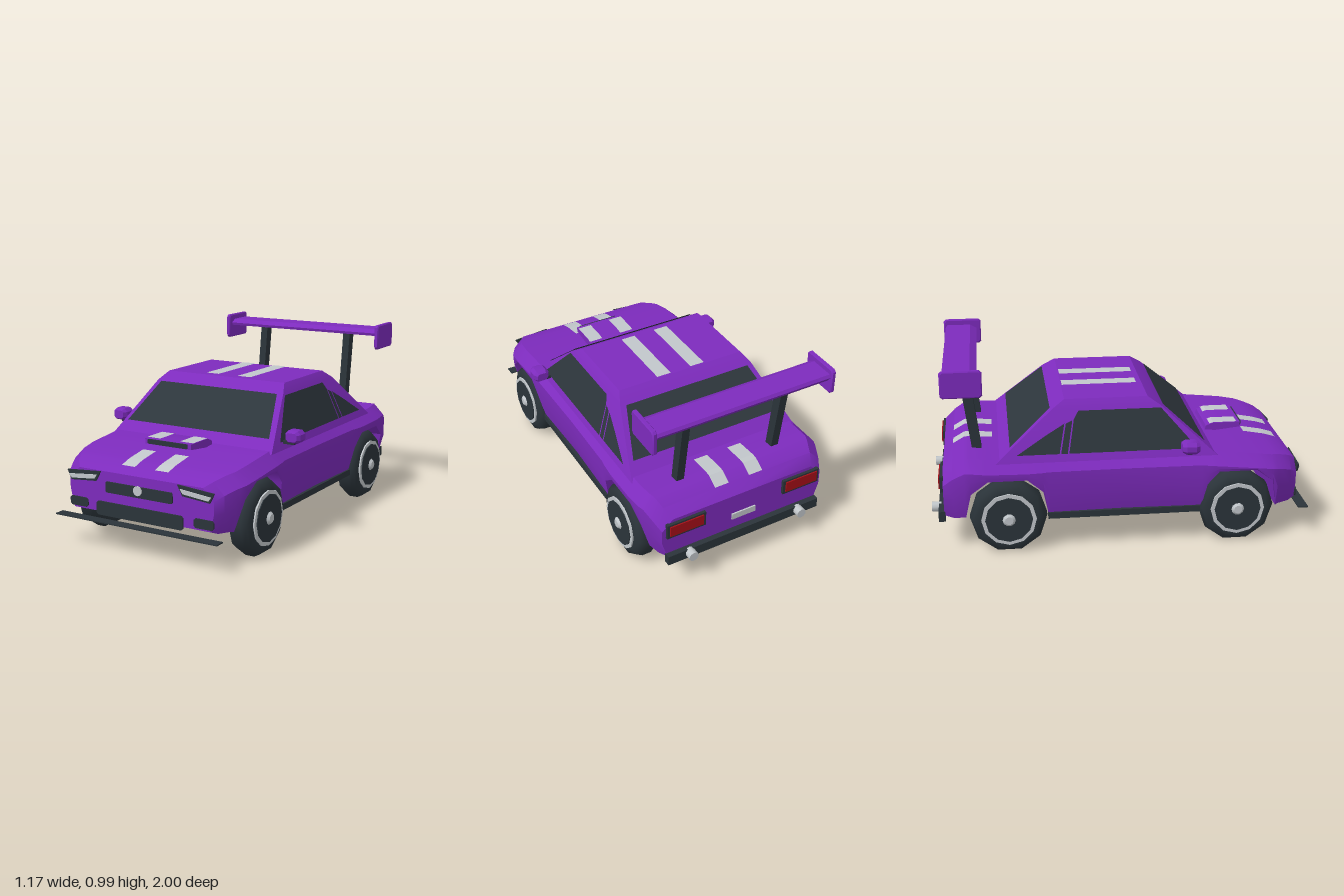
import * as THREE from 'three';
import { toCreasedNormals } from 'three/addons/utils/BufferGeometryUtils.js';
import { ConvexGeometry } from 'three/addons/geometries/ConvexGeometry.js';

const material = (name, color, side = THREE.FrontSide) => {
  const m = new THREE.MeshStandardMaterial({ color, side });
  m.name = name;
  return m;
};

export function createModel() {
  const car = new THREE.Group();
  car.name = 'car';
  const purple = material('purple paint', 0x7d2bbd);
  const dark = material('dark trim', 0x2b343a);
  const glass = material('tinted glass', 0x2d363c, THREE.DoubleSide);
  const silver = material('silver', 0xc2c7cb, THREE.DoubleSide);
  const red = material('red lamp', 0xa50f18);

  const add = (name, geometry, mat, x = 0, y = 0, z = 0, parent = car) => {
    const m = new THREE.Mesh(geometry, mat);
    m.name = name;
    m.position.set(x, y, z);
    parent.add(m);
    return m;
  };
  const box = (name, mat, w, h, d, x, y, z) => add(name, new THREE.BoxGeometry(w, h, d), mat, x, y, z);
  // flat convex polygon from 3D corners
  const panel = (name, mat, pts) => {
    const g = new THREE.BufferGeometry();
    g.setAttribute('position', new THREE.Float32BufferAttribute(pts.flat(), 3));
    const idx = [];
    for (let i = 1; i < pts.length - 1; i++) idx.push(0, i, i + 1);
    g.setIndex(idx);
    g.computeVertexNormals();
    return add(name, g, mat);
  };
  // bevelled plate outlined in x and y, facing z
  const plate = (name, mat, outline, z, depth = 0.008) => {
    const g = new THREE.ExtrudeGeometry(new THREE.Shape(outline.map(p => new THREE.Vector2(...p))),
      { depth, bevelEnabled: false });
    return add(name, g, mat, 0, 0, z);
  };
  const chamfered = (x, y, w, h, c) => [
    [x - w + c, y - h], [x + w - c, y - h], [x + w, y - h + c], [x + w, y + h - c],
    [x + w - c, y + h], [x - w + c, y + h], [x - w, y + h - c], [x - w, y - h + c]];
  const convex = (name, mat, pts) => add(name, toCreasedNormals(
    new ConvexGeometry(pts.map(p => new THREE.Vector3(...p))), 0.5), mat);
  const bothSides = fn => [1, -1].forEach(fn);

  // Lower body: cross-sections from nose to tail; the floor rises over the wheels
  // [z, floor y, top y, half width at floor, half width at shoulder]
  const stations = [
    [0.938, 0.2, 0.412, 0.41, 0.43], [0.9, 0.185, 0.437, 0.43, 0.465],
    [0.84, 0.18, 0.457, 0.45, 0.495], [0.82, 0.18, 0.462, 0.47, 0.505],
    [0.79, 0.34, 0.468, 0.515, 0.52], [0.7, 0.41, 0.482, 0.525, 0.53],
    [0.5, 0.41, 0.502, 0.525, 0.53], [0.44, 0.34, 0.506, 0.52, 0.525],
    [0.41, 0.19, 0.508, 0.49, 0.52], [0, 0.19, 0.508, 0.48, 0.515],
    [-0.39, 0.19, 0.508, 0.49, 0.52], [-0.42, 0.34, 0.507, 0.52, 0.525],
    [-0.5, 0.41, 0.506, 0.525, 0.53], [-0.7, 0.41, 0.51, 0.525, 0.53],
    [-0.79, 0.34, 0.518, 0.515, 0.525], [-0.82, 0.2, 0.515, 0.48, 0.515],
    [-0.88, 0.19, 0.48, 0.46, 0.495], [-0.932, 0.2, 0.435, 0.44, 0.47]];
  const pos = [], idx = [], N = 10;
  for (const [z, b, t, wl, ws] of stations) {
    const s = t - 0.06, m = b + (s - b) * 0.55;
    const half = [[wl, b], [ws, m], [ws, s], [ws - 0.06, t]];
    const ring = [[0, b], ...half, [0, t], ...half.slice().reverse().map(([x, y]) => [-x, y])];
    ring.forEach(([x, y]) => pos.push(x, y, z));
  }
  const last = (stations.length - 1) * N;
  for (let i = 0; i < last; i += N) for (let j = 0; j < N; j++) {
    const k = (j + 1) % N, a = i + j, b = i + k;
    idx.push(a, a + N, b, b, a + N, b + N);
  }
  for (let j = 1; j < N - 1; j++) idx.push(0, j, j + 1, last, last + j + 1, last + j);
  const bodyGeo = new THREE.BufferGeometry();
  bodyGeo.setAttribute('position', new THREE.Float32BufferAttribute(pos, 3));
  bodyGeo.setIndex(idx);
  add('body', toCreasedNormals(bodyGeo, 0.6), purple);

  // Cabin
  const cabin = [];
  bothSides(s => cabin.push([s * 0.49, 0.49, 0.495], [s * 0.49, 0.49, -0.66],
    [s * 0.395, 0.745, 0.205], [s * 0.395, 0.745, -0.36],
    [s * 0.365, 0.787, 0.14], [s * 0.365, 0.787, -0.295]));
  convex('cabin', purple, cabin);
  panel('windscreen', glass, [[-0.44, 0.554, 0.433], [0.44, 0.554, 0.433],
    [0.365, 0.741, 0.22], [-0.365, 0.741, 0.22]]);
  panel('rearWindow', glass, [[0.44, 0.562, -0.583], [-0.44, 0.562, -0.583],
    [-0.365, 0.743, -0.37], [0.365, 0.743, -0.37]]);
  bothSides(s => {
    const onSide = ([z, y]) => [s * (0.496 - (y - 0.49) * 0.3725), y, z];
    panel('doorWindow', glass, [[0.39, 0.53], [0.205, 0.735], [-0.225, 0.735],
      [-0.25, 0.695], [-0.28, 0.53]].map(onSide));
    panel('pillarTrim', glass, [[-0.258, 0.69], [-0.292, 0.675], [-0.322, 0.53], [-0.288, 0.53]].map(onSide));
    panel('quarterWindow', glass, [[-0.3, 0.675], [-0.4, 0.62], [-0.55, 0.53], [-0.33, 0.53]].map(onSide));
  });

  // Bonnet scoop
  convex('bonnetScoop', purple, [-0.14, 0.14].flatMap(x => [
    [x, 0.49, 0.49], [x, 0.525, 0.5], [x, 0.54, 0.54], [x, 0.54, 0.69], [x, 0.512, 0.69]]));
  plate('scoopOpening', dark, chamfered(0, 0.527, 0.12, 0.012, 0.003), 0.69);

  // Twin stripes as strips along [z, y] lines
  const stripeLines = [
    [[0.89, 0.444], [0.84, 0.46], [0.82, 0.465], [0.71, 0.485]],
    [[0.67, 0.543], [0.54, 0.543], [0.52, 0.536]],
    [[0.11, 0.791], [-0.29, 0.791]],
    [[-0.67, 0.512], [-0.7, 0.514], [-0.79, 0.522], [-0.82, 0.519], [-0.88, 0.484]]];
  bothSides(s => stripeLines.forEach(line => line.slice(1).forEach(([z, y], i) => {
    const [z0, y0] = line[i];
    panel('stripe', silver, [[s * 0.1 - 0.04, y0, z0], [s * 0.1 + 0.04, y0, z0],
      [s * 0.1 + 0.04, y, z], [s * 0.1 - 0.04, y, z]]);
  })));

  // Nose
  plate('grille', dark, chamfered(0, 0.336, 0.2, 0.028, 0.006), 0.942);
  plate('lowerIntake', dark, chamfered(0, 0.221, 0.26, 0.036, 0.01), 0.942);
  const badge = add('roundBadge', new THREE.CylinderGeometry(0.025, 0.025, 0.008, 10), silver, 0, 0.345, 0.955);
  badge.rotation.x = Math.PI / 2;
  bothSides(s => {
    const flip = pts => (s > 0 ? pts : pts.map(([x, y]) => [-x, y]).reverse());
    plate('headlightSurround', dark, flip([[0.26, 0.358], [0.415, 0.345], [0.44, 0.395], [0.23, 0.411]]), 0.942);
    plate('headlight', silver, flip([[0.265, 0.37], [0.41, 0.356], [0.425, 0.376], [0.25, 0.393]]), 0.951, 0.005);
    plate('fogLight', dark, chamfered(s * 0.375, 0.234, 0.056, 0.024, 0.01), 0.936);
  });
  box('splitter', dark, 0.97, 0.006, 0.055, 0, 0.165, 0.9725);

  // Tail
  box('rearBumper', dark, 0.9, 0.055, 0.035, 0, 0.195, -0.945);
  box('rearPlate', silver, 0.14, 0.035, 0.008, 0, 0.305, -0.938);
  bothSides(s => {
    box('tailLightSurround', dark, 0.22, 0.085, 0.02, s * 0.34, 0.375, -0.938);
    box('tailLight', red, 0.19, 0.06, 0.008, s * 0.34, 0.378, -0.951);
    const pipe = add('exhaust', new THREE.CylinderGeometry(0.027, 0.027, 0.05, 10), silver, s * 0.325, 0.2, -0.975);
    pipe.rotation.x = Math.PI / 2;
  });

  // Skirts and mirrors
  bothSides(s => {
    box('sideSkirt', dark, 0.04, 0.034, 0.8, s * 0.485, 0.197, 0.005);
    box('mirrorStalk', dark, 0.08, 0.018, 0.03, s * 0.5, 0.527, 0.34);
    convex('mirror', purple, [0.315, 0.365].flatMap(z => chamfered(s * 0.54, 0.562, 0.044, 0.032, 0.018)
      .map(([x, y]) => [x, y, z])).concat([0.295, 0.385].flatMap(z =>
      chamfered(s * 0.54, 0.562, 0.03, 0.022, 0.01).map(([x, y]) => [x, y, z]))));
  });

  // Rear wing
  convex('wingBlade', purple, [-0.49, 0.49].flatMap(x => [[x, 0.935, -0.74], [x, 0.95, -0.735],
    [x, 0.97, -0.77], [x, 0.97, -0.9], [x, 0.955, -0.91], [x, 0.927, -0.89]]));
  bothSides(s => {
    convex('wingEndPlate', purple, [[0.49, 0.006], [0.495, 0], [0.51, 0], [0.515, 0.006]].flatMap(([x, inset]) =>
      chamfered(-0.815, 0.93, 0.105 - inset, 0.07 - inset, 0.012).map(([z, y]) => [s * x, y, z])));
    convex('wingPost', dark, [0.26, 0.302].flatMap(x => [[s * x, 0.5, -0.725], [s * x, 0.5, -0.775],
      [s * x, 0.94, -0.78], [s * x, 0.94, -0.835]]));
  });

  // Wheels
  const tyre = new THREE.LatheGeometry([[0.13, -0.06], [0.15, -0.065], [0.185, -0.05], [0.2, -0.025], [0.2, 0.025],
    [0.185, 0.052], [0.15, 0.065], [0.13, 0.06], [0.13, -0.06]].map(p => new THREE.Vector2(...p)), 10);
  bothSides(s => [0.6, -0.6].forEach(z => {
    const wheel = new THREE.Group();
    wheel.name = 'wheel';
    wheel.position.set(s * 0.465, 0.2, z);
    wheel.rotation.z = -s * Math.PI / 2;
    add('tyre', tyre, dark, 0, 0, 0, wheel);
    add('rim', new THREE.CylinderGeometry(0.143, 0.143, 0.012, 12), silver, 0, 0.066, 0, wheel);
    add('rimFace', new THREE.CylinderGeometry(0.123, 0.123, 0.008, 12), dark, 0, 0.073, 0, wheel);
    add('hubCap', new THREE.CylinderGeometry(0.022, 0.034, 0.012, 10), silver, 0, 0.083, 0, wheel);
    car.add(wheel);
  }));
  return car;
}
